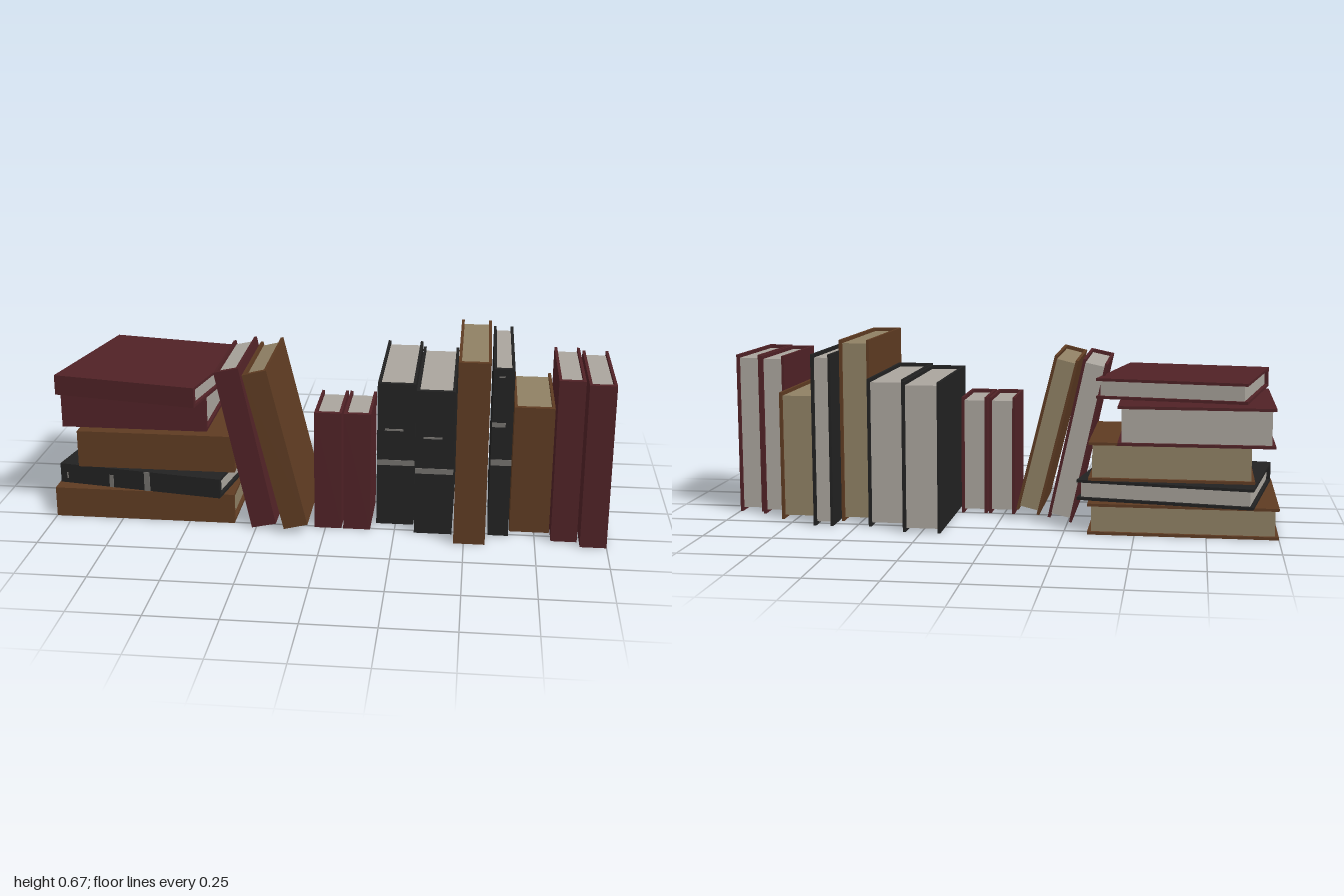
import * as THREE from 'three';

const mat = (name, color) => {
  const m = new THREE.MeshStandardMaterial({ color });
  m.name = name;
  return m;
};

export function createModel() {
  const maroon = mat('maroon cover', 0x502226);
  const brown = mat('brown cover', 0x5e3b22);
  const black = mat('black cover', 0x222222);
  const white = mat('pale pages', 0xaaa59d);
  const tan = mat('tan pages', 0x8f8064);
  const grey = mat('grey spine band', 0x74716d);

  const root = new THREE.Group();
  root.name = 'rowOfBooks';

  const BOARD = 0.01, SPINE = 0.018, INSET = 0.013;

  // A book centred on its origin, standing up with its spine towards +z.
  // bands: [height above bottom, band height, left end, right end] as fractions of thickness
  function book(name, cover, t, h, d, bands = []) {
    const g = new THREE.Group();
    g.name = name;
    const a = t / 2, b = d / 2;

    // U-shaped cover: two boards joined by the spine
    const s = new THREE.Shape([
      [-a, -b], [a, -b], [a, b], [a - BOARD, b], [a - BOARD, -b + SPINE],
      [-a + BOARD, -b + SPINE], [-a + BOARD, b], [-a, b],
    ].map(([x, y]) => new THREE.Vector2(x, y)));
    const geo = new THREE.ExtrudeGeometry(s, { depth: h, bevelEnabled: false });
    geo.rotateX(-Math.PI / 2).translate(0, -h / 2, 0);
    const coverMesh = new THREE.Mesh(geo, cover);
    coverMesh.name = 'cover';
    g.add(coverMesh);

    // Page block, set in from the board edges
    const pages = new THREE.Mesh(
      new THREE.BoxGeometry(t - 2 * BOARD, h - 2 * INSET, d - SPINE - INSET),
      cover === brown ? tan : white);
    pages.name = 'pages';
    pages.position.z = (INSET - SPINE) / 2;
    g.add(pages);

    // Thin bands on the spine
    for (const [y, bh, l, r] of bands) {
      const band = new THREE.Mesh(new THREE.BoxGeometry((r - l) * t, bh, 0.003), grey);
      band.name = 'spineBand';
      band.position.set(((l + r) / 2 - 0.5) * t, y - h / 2, b + 0.001);
      g.add(band);
    }
    root.add(g);
    return g;
  }

  const thickBands = [[0.24, 0.02, 0, 1], [0.365, 0.007, 0.2, 0.7]];
  const thinBands = [[0.28, 0.022, 0, 1], [0.42, 0.016, 0, 0.65], [0.595, 0.005, 0.25, 0.55]];

  // Upright books: cover, left x, right x, height, back z, front z, bands
  [
    [maroon, -0.04, 0.058, 0.44, 0, 0.26],
    [maroon, 0.065, 0.162, 0.44, 0, 0.26],
    [black, 0.18, 0.315, 0.537, -0.35, 0.2, thickBands],
    [black, 0.321, 0.456, 0.537, -0.28, 0.27, thickBands],
    [brown, 0.464, 0.575, 0.668, -0.205, 0.347],
    [black, 0.585, 0.658, 0.623, -0.29, 0.262, thinBands],
    [brown, 0.663, 0.804, 0.472, -0.2, 0.22],
    [maroon, 0.807, 0.899, 0.597, -0.12, 0.29],
    [maroon, 0.907, 1.0, 0.597, -0.088, 0.33],
  ].forEach(([c, x0, x1, h, z0, z1, bands]) => {
    book('uprightBook', c, x1 - x0, h, z1 - z0, bands)
      .position.set((x0 + x1) / 2, h / 2, (z0 + z1) / 2);
  });

  // Leaning books: cover, thickness, height, depth, centre, lean in degrees
  [
    [maroon, 0.09, 0.597, 0.41, [-0.284, 0.302, 0.085], 12.2],
    [brown, 0.088, 0.59, 0.42, [-0.17, 0.315, 0.12], 13.8],
  ].forEach(([c, t, h, d, p, lean]) => {
    const b = book('leaningBook', c, t, h, d);
    b.position.set(...p);
    b.rotation.z = THREE.MathUtils.degToRad(lean);
  });

  // Stacked books, lying flat: cover, bottom y, top y, length, depth, centre x, centre z, yaw, bands
  [
    [brown, 0, 0.111, 0.665, 0.553, -0.667, -0.02, 0],
    [black, 0.113, 0.186, 0.623, 0.552, -0.643, -0.022, -8.9, thinBands],
    [brown, 0.188, 0.325, 0.58, 0.5, -0.625, -0.02, 0],
    [maroon, 0.329, 0.467, 0.537, 0.55, -0.709, -0.08, 0],
    [maroon, 0.47, 0.543, 0.535, 0.55, -0.667, 0.027, -10.2],
  ].forEach(([c, y0, y1, h, d, x, z, yaw, bands]) => {
    const b = book('stackedBook', c, y1 - y0, h, d, bands);
    b.position.set(x, (y0 + y1) / 2, z);
    b.rotation.set(0, THREE.MathUtils.degToRad(yaw), Math.PI / 2);
  });

  return root;
}
